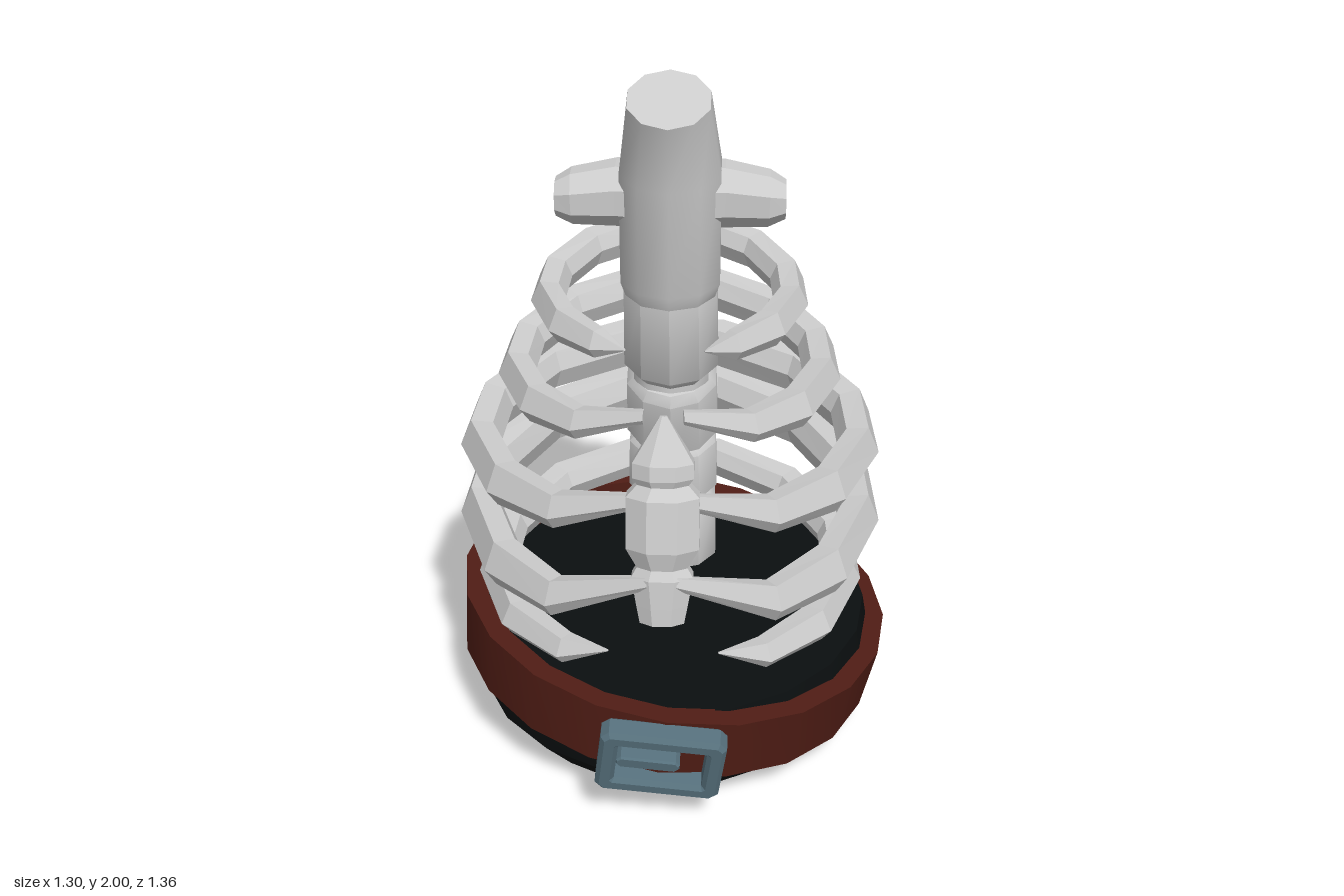
import * as THREE from 'three';
import { toCreasedNormals } from 'three/addons/utils/BufferGeometryUtils.js';

const bone = new THREE.MeshStandardMaterial({ color: 0xcccccc });
const boneFlat = new THREE.MeshStandardMaterial({ color: 0xcccccc, flatShading: true });
const leather = new THREE.MeshStandardMaterial({ color: 0x501d15 });
const dark = new THREE.MeshStandardMaterial({ color: 0x0b0f10 });
const metal = new THREE.MeshStandardMaterial({ color: 0x56707c });

function add(parent, name, geometry, material) {
  const mesh = new THREE.Mesh(geometry, material);
  mesh.name = name;
  parent.add(mesh);
  return mesh;
}

// Skin a list of equal rings (counter-clockwise about the path) and cap both ends
function loft(rings) {
  const n = rings[0].length, last = rings.length - 1;
  const position = [], index = [];
  rings.forEach(ring => ring.forEach(p => position.push(p.x, p.y, p.z)));
  for (let i = 0; i < last; i++) {
    for (let j = 0; j < n; j++) {
      const k = (j + 1) % n, a = i * n + j, b = i * n + k;
      index.push(a, b, b + n, a, b + n, a + n);
    }
  }
  for (let j = 1; j < n - 1; j++) {
    const e = last * n;
    index.push(0, j + 1, j, e, e + j, e + j + 1);
  }
  const g = new THREE.BufferGeometry();
  g.setAttribute('position', new THREE.Float32BufferAttribute(position, 3));
  g.setIndex(index);
  return toCreasedNormals(g, 0.75);
}

// Round limb through [x, y, z, radius] points; u is the sideways axis, flat squashes the other one
function limb(points, sides, u, flat = 1) {
  const at = i => new THREE.Vector3(...points[Math.max(0, Math.min(points.length - 1, i))].slice(0, 3));
  return loft(points.map((p, i) => {
    const d = at(i + 1).sub(at(i - 1)).normalize();
    const v = d.clone().cross(u).normalize();
    return Array.from({ length: sides }, (_, j) => {
      const a = (j + 0.5) / sides * Math.PI * 2;
      return at(i).addScaledVector(u, p[3] * Math.cos(a)).addScaledVector(v, p[3] * flat * Math.sin(a));
    });
  }));
}

// Rib hoop, open at the front: half width w, half depth d, heights ys at back, side, front and end
function rib({ w, d, cz, ys, t, h, end, tip }) {
  const section = [[1, -0.15], [0.45, 1], [-0.6, 0.85], [-1, 0], [-0.55, -1], [0.45, -0.95]];
  const keys = [0, 90, 145, end];
  const height = a => {
    const k = a < 90 ? 0 : a < 145 ? 1 : 2;
    return THREE.MathUtils.mapLinear(a, keys[k], keys[k + 1], ys[k], ys[k + 1]);
  };
  const half = [15, 45, 75, 98, 125, 148, end];
  const size = [1, 1, 1, 1, 1, 0.8, tip];
  const stations = [...half.map((a, i) => [-a, size[i]]).reverse(), ...half.map((a, i) => [a, size[i]])];
  return loft(stations.map(([deg, s]) => {
    const a = THREE.MathUtils.degToRad(deg);
    const out = new THREE.Vector3(d * Math.sin(a), 0, -w * Math.cos(a)).normalize();
    const c = new THREE.Vector3(w * Math.sin(a), height(Math.abs(deg)), cz - d * Math.cos(a));
    return section.map(([p, q]) => {
      const v = c.clone().addScaledVector(out, p * t * s);
      v.y += q * h * s;
      return v;
    });
  }));
}

function roundedRect(shape, w, h, r) {
  const x = w / 2, y = h / 2;
  shape.moveTo(-x + r, -y).lineTo(x - r, -y).lineTo(x, -y + r).lineTo(x, y - r)
    .lineTo(x - r, y).lineTo(-x + r, y).lineTo(-x, y - r).lineTo(-x, -y + r).closePath();
  return shape;
}

const lathe = (profile, sides) =>
  toCreasedNormals(new THREE.LatheGeometry(profile.map(p => new THREE.Vector2(...p)), sides), 0.45);

export function createModel() {
  const model = new THREE.Group();
  const X = new THREE.Vector3(1, 0, 0), Z = new THREE.Vector3(0, 0, 1);

  const skeleton = new THREE.Group();
  skeleton.name = 'skeleton';
  skeleton.position.x = -0.013;
  model.add(skeleton);

  // Neck bending forward, with a slanted flat top
  add(skeleton, 'neck', limb([
    [0, 1.36, -0.085, 0.132], [0, 1.4, -0.083, 0.146], [0, 1.73, -0.075, 0.146], [0, 1.95, 0.022, 0.115],
  ], 10, X), bone);

  // Vertebrae, each a short cylinder with bevelled rims, and thinner discs between
  const joints = [[1.42, -0.085], [1.08, -0.15], [0.82, -0.25], [0.6, -0.285], [0.3, -0.285]];
  for (let i = 0; i < 4; i++) {
    const [y0, z0] = joints[i], [y1, z1] = joints[i + 1];
    const points = [[0.02, 0.115], [0.12, 0.138], [0.88, 0.143], [0.98, 0.115]]
      .map(([f, r]) => [0, y0 + (y1 - y0) * f, z0 + (z1 - z0) * f, r]);
    add(skeleton, 'vertebra', limb(points, 10, X), bone);
    if (i) add(skeleton, 'spinalDisc', limb([[0, y0 + 0.03, z0, 0.115], [0, y0 - 0.03, z0, 0.115]], 10, X), bone);
  }

  // Collar stubs on both sides of the neck
  for (const s of [1, -1]) {
    add(skeleton, 'collarStub', limb([
      [0.05 * s, 1.64, -0.1, 0.1], [0.15 * s, 1.645, -0.1, 0.095],
      [0.27 * s, 1.64, -0.082, 0.08], [0.315 * s, 1.64, -0.075, 0.055],
    ], 8, Z, 0.98), boneFlat);
  }

  // Ribs from top to bottom
  const ribs = [
    { w: 0.338, d: 0.342, cz: -0.027, ys: [1.435, 1.38, 1.365, 1.36], t: 0.049, h: 0.05, end: 162, tip: 0.05 },
    { w: 0.432, d: 0.408, cz: -0.012, ys: [1.23, 1.165, 1.155, 1.215], t: 0.054, h: 0.056, end: 173, tip: 0.35 },
    { w: 0.548, d: 0.487, cz: -0.02, ys: [1.0, 0.935, 0.915, 1.0], t: 0.06, h: 0.067, end: 174, tip: 0.32 },
    { w: 0.56, d: 0.575, cz: -0.033, ys: [0.785, 0.705, 0.67, 0.79], t: 0.062, h: 0.073, end: 176, tip: 0.28 },
    { w: 0.525, d: 0.537, cz: -0.04, ys: [0.54, 0.482, 0.465, 0.51], t: 0.056, h: 0.053, end: 163, tip: 0.05 },
  ];
  ribs.forEach(r => add(skeleton, 'rib', rib(r), boneFlat));

  // Breastbone in three pieces, sloping forward as it goes down
  const sternum = {
    sternumTop: [[1.22, 0.01], [1.1, 0.088], [1.06, 0.088], [1.03, 0.065]],
    sternumBody: [[1.05, 0.065], [1.01, 0.106], [0.87, 0.106], [0.81, 0.07]],
    sternumTip: [[0.83, 0.065], [0.79, 0.09], [0.71, 0.075], [0.66, 0.065]],
  };
  for (const [name, profile] of Object.entries(sternum)) {
    const points = profile.map(([y, r]) => [0, y, 0.402 + (1.2 - y) * 0.24, r]);
    add(skeleton, name, limb(points, 8, X, 0.72), boneFlat);
  }

  // Dark bowl-shaped base with a closed top
  const base = add(model, 'base', lathe([
    [0, 0], [0.485, 0], [0.59, 0.13], [0.61, 0.25], [0.59, 0.36], [0, 0.36],
  ], 20), dark);
  base.position.set(-0.01, 0, -0.028);

  // Tilted belt band
  const belt = add(model, 'belt', lathe([
    [0.575, -0.103], [0.634, -0.103], [0.65, 0.1], [0.585, 0.1], [0.575, -0.103],
  ], 20), leather);
  belt.position.set(-0.01, 0.28, -0.03);
  belt.rotation.z = -0.145;

  // Buckle frame with its prong
  const buckle = new THREE.Group();
  buckle.name = 'buckle';
  buckle.position.set(-0.015, 0.256, 0.597);
  buckle.rotation.set(0.17, 0, -0.12);
  model.add(buckle);
  const frame = roundedRect(new THREE.Shape(), 0.325, 0.212, 0.014);
  frame.holes.push(roundedRect(new THREE.Path(), 0.27, 0.16, 0.008));
  add(buckle, 'buckleFrame', toCreasedNormals(new THREE.ExtrudeGeometry(frame, {
    depth: 0.05, bevelThickness: 0.012, bevelSize: 0.012, bevelSegments: 1,
  }), 0.5), metal);
  const prong = roundedRect(new THREE.Shape(), 0.17, 0.03, 0.01);
  const prongMesh = add(buckle, 'buckleProng', toCreasedNormals(new THREE.ExtrudeGeometry(prong, {
    depth: 0.045, bevelThickness: 0.006, bevelSize: 0.004, bevelSegments: 1,
  }), 0.5), metal);
  prongMesh.position.set(-0.035, 0.003, 0.005);

  return model;
}
